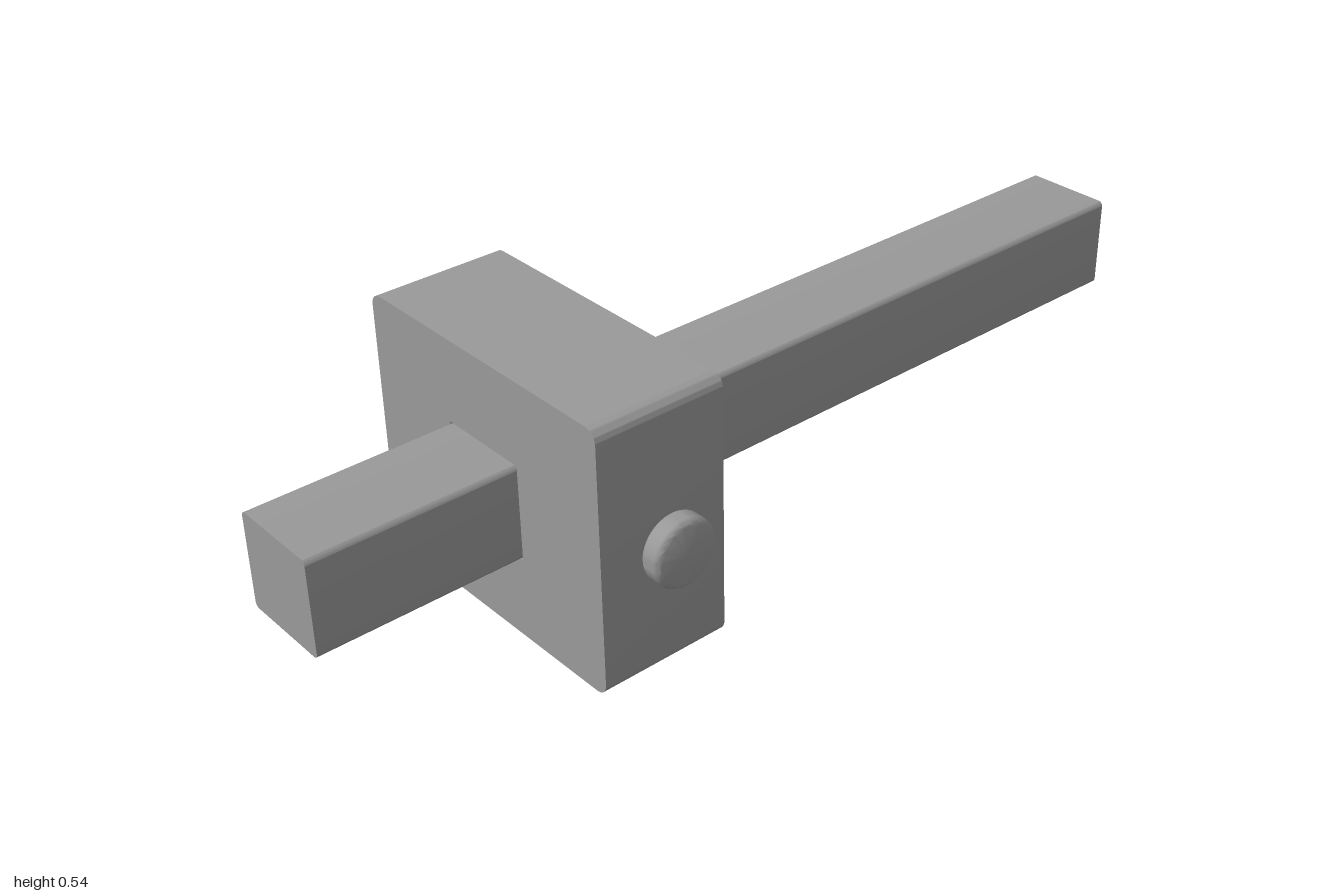
import * as THREE from 'three';
import { toCreasedNormals } from 'three/addons/utils/BufferGeometryUtils.js';

const CY = 0.271, CZ = -0.0315;   // axis of the beam
const HEAD_X = -0.445;            // middle of the sliding head

// Rectangle centred on the origin with rounded corners
function roundedRect(w, h, r) {
  const s = new THREE.Shape(), x = w / 2 - r, y = h / 2 - r;
  s.absarc(x, y, r, 0, Math.PI / 2);
  s.absarc(-x, y, r, Math.PI / 2, Math.PI);
  s.absarc(-x, -y, r, Math.PI, Math.PI * 1.5);
  s.absarc(x, -y, r, Math.PI * 1.5, Math.PI * 2);
  s.closePath();
  return s;
}

// Extrude a cross-section along x, centred on the given x
function alongX(shape, length, x) {
  const g = new THREE.ExtrudeGeometry(shape, { depth: length, bevelEnabled: false, curveSegments: 8 });
  g.translate(0, 0, -length / 2).rotateY(Math.PI / 2).translate(x, CY, CZ);
  return toCreasedNormals(g, 0.5);
}

// Turned part from [radius, height] pairs, listed bottom to top
function turned(points, segments) {
  const g = new THREE.LatheGeometry(points.map(([r, y]) => new THREE.Vector2(r, y)), segments);
  return toCreasedNormals(g, 0.5);
}

export function createModel() {
  const group = new THREE.Group();
  const grey = new THREE.MeshStandardMaterial({ color: 0x999999 });
  grey.name = 'plain grey';
  const add = (name, geometry) => {
    const mesh = new THREE.Mesh(geometry, grey);
    mesh.name = name;
    group.add(mesh);
    return mesh;
  };

  // Long beam with softened edges
  add('beam', alongX(roundedRect(0.197, 0.197, 0.01), 2, 0));

  // Sliding head with a square mortise for the beam
  const headShape = roundedRect(0.65, 0.542, 0.026), m = 0.099;
  headShape.holes.push(new THREE.Path([
    new THREE.Vector2(-m, -m), new THREE.Vector2(-m, m),
    new THREE.Vector2(m, m), new THREE.Vector2(m, -m),
  ]));
  add('head', alongX(headShape, 0.274, HEAD_X));

  // Locking screw: stem running in to the beam, and thumb knob
  const stem = turned([[0, 0.067], [0.0296, 0.067], [0.0296, 0.315]], 40);
  const knob = turned([
    [0, 0.311], [0.057, 0.311], [0.0615, 0.3125], [0.0655, 0.316], [0.068, 0.321],
    [0.068, 0.347], [0.0655, 0.352], [0.0615, 0.3555], [0.057, 0.357], [0, 0.357],
  ], 48);
  for (const [name, g] of [['screwStem', stem], ['thumbKnob', knob]]) {
    g.rotateX(Math.PI / 2);
    add(name, g).position.set(HEAD_X, CY, 0);
  }

  // Marking pin under the short end
  const pin = turned([[0, 0.117], [0.003, 0.118], [0.0085, 0.137], [0.0085, 0.2]], 20);
  add('markingPin', pin).position.set(-0.857, 0, CZ);

  return group;
}
